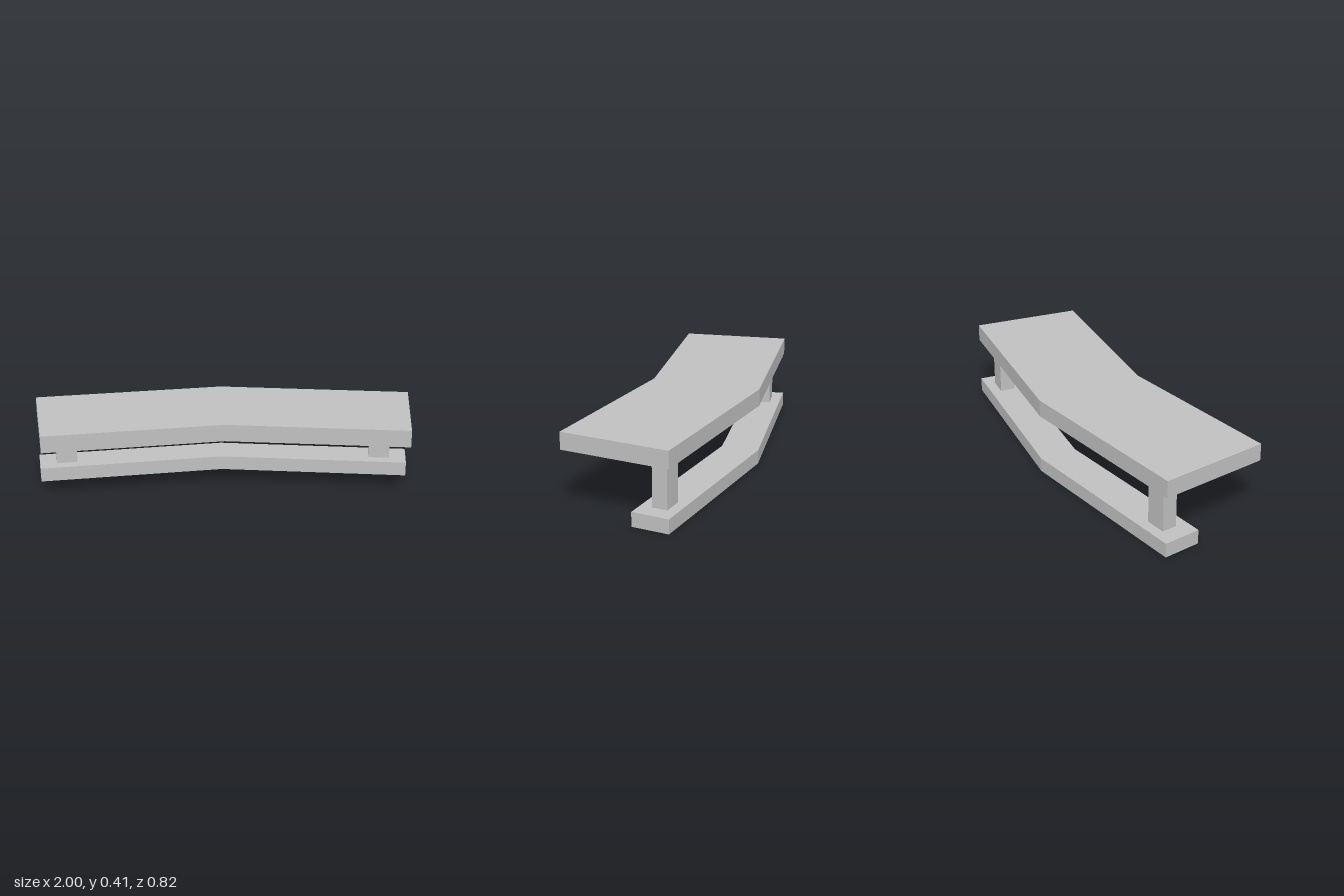
import * as THREE from 'three';

const BEND = THREE.MathUtils.degToRad(15);
const BACK = -0.41;          // z of the straight back edge
const KNEE = 0.01;           // x where the back edge bends
const ARM = 1.025;           // length of the angled half along its back edge

// Point on the angled half: u along its back edge, v forward from it
const onArm = (u, v) => [
  KNEE + u * Math.cos(BEND) - v * Math.sin(BEND),
  BACK + u * Math.sin(BEND) + v * Math.cos(BEND),
];

// Bent slab of constant width, extruded upwards
function bentSlab(name, width, bottom, top, material) {
  const outline = [
    [-1, BACK + width],
    [KNEE - width * Math.tan(BEND / 2), BACK + width],
    onArm(ARM, width),
    onArm(ARM, 0),
    [KNEE, BACK],
    [-1, BACK],
  ];
  const shape = new THREE.Shape(outline.map(([x, z]) => new THREE.Vector2(x, -z)));
  const geometry = new THREE.ExtrudeGeometry(shape, { depth: top - bottom, bevelEnabled: false });
  geometry.rotateX(-Math.PI / 2).translate(0, bottom, 0);
  const mesh = new THREE.Mesh(geometry, material);
  mesh.name = name;
  return mesh;
}

export function createModel() {
  const grey = new THREE.MeshStandardMaterial({ color: 0xc0c0c0 });
  grey.name = 'light grey';

  const group = new THREE.Group();
  group.name = 'bentBench';

  // Wide seat over a narrow base sharing the same back edge
  group.add(bentSlab('seat', 0.575, 0.32, 0.41, grey));
  group.add(bentSlab('base', 0.197, 0, 0.075, grey));

  // One post near each end, square to its half of the bench
  const posts = [
    ['rightPost', [-0.855, BACK + 0.095], 0],
    ['leftPost', onArm(ARM - 0.145, 0.095), -BEND],
  ];
  for (const [name, [x, z], turn] of posts) {
    const post = new THREE.Mesh(new THREE.BoxGeometry(0.11, 0.245, 0.08), grey);
    post.name = name;
    post.position.set(x, 0.1975, z);
    post.rotation.y = turn;
    group.add(post);
  }
  return group;
}
